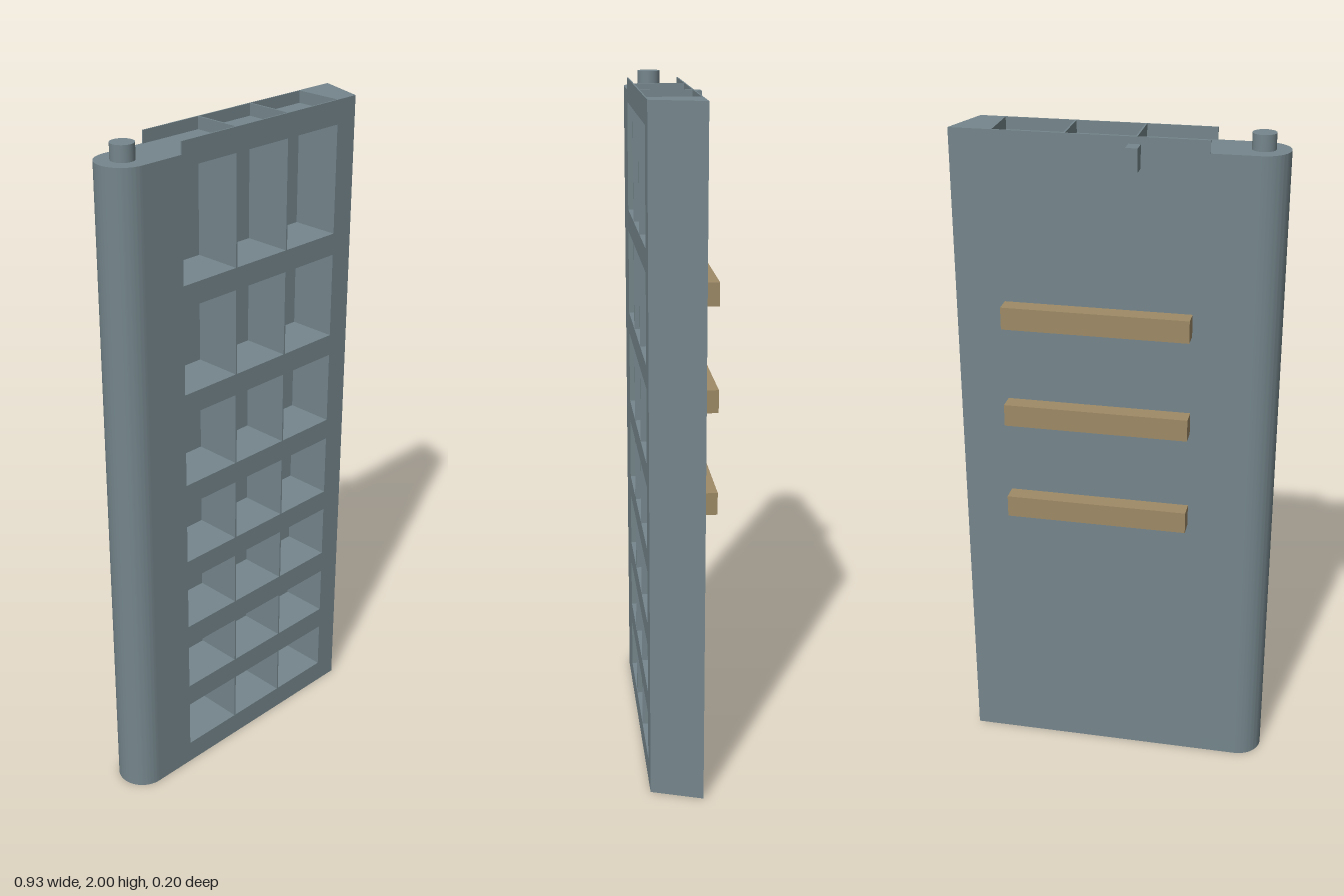
import * as THREE from 'three';
import { toCreasedNormals } from 'three/addons/utils/BufferGeometryUtils.js';

export function createModel() {
  const gate = new THREE.Group();
  gate.name = 'lockGate';
  const steel = new THREE.MeshStandardMaterial({ color: 0x75868c });
  steel.name = 'grey steel';
  const wood = new THREE.MeshStandardMaterial({ color: 0x9e8a66 });
  wood.name = 'fender wood';

  const add = (name, geometry, material = steel) => {
    const mesh = new THREE.Mesh(geometry, material);
    mesh.name = name;
    gate.add(mesh);
    return mesh;
  };
  // box given by its limits on each axis
  const box = (name, [x0, x1], [y0, y1], [z0, z1], material) => {
    const mesh = add(name, new THREE.BoxGeometry(x1 - x0, y1 - y0, z1 - z0), material);
    mesh.position.set((x0 + x1) / 2, (y0 + y1) / 2, (z0 + z1) / 2);
  };
  // plan outline (x, -z) raised from y0 to y1
  const raise = (name, shape, y0, y1) => {
    const g = new THREE.ExtrudeGeometry(shape, { depth: y1 - y0, bevelEnabled: false, curveSegments: 32 });
    g.rotateX(-Math.PI / 2);
    g.translate(0, y0, 0);
    add(name, toCreasedNormals(g, 0.5));
  };

  const back = -0.05, front = 0.1, skin = 0.004;
  const left = -0.257, right = 0.34;   // sides of the cell grid
  const top = 1.99, deck = 1.955;
  const hingeX = -0.39, hingeZ = 0.025, radius = 0.075;

  // rounded hinge post with a socket underneath and a pin on top
  const hingePlan = () => {
    const s = new THREE.Shape();
    s.moveTo(left, -back);
    s.lineTo(hingeX, -back);
    s.absarc(hingeX, -hingeZ, radius, Math.PI / 2, Math.PI * 1.5, false);
    s.lineTo(left, -front);
    s.closePath();
    return s;
  };
  const socketPlan = hingePlan();
  socketPlan.holes.push(new THREE.Path().absarc(hingeX, -hingeZ, 0.033, 0, Math.PI * 2, true));
  raise('hingeSocket', socketPlan, 0, 0.045);
  raise('hingePost', hingePlan(), 0.045, deck);
  add('hingePin', new THREE.CylinderGeometry(0.033, 0.033, 0.045, 32))
    .position.set(hingeX, 2 - 0.0225, hingeZ);

  // mitred meeting post
  const mitre = new THREE.Shape([
    new THREE.Vector2(right, -front), new THREE.Vector2(0.413, -front),
    new THREE.Vector2(0.463, -back), new THREE.Vector2(right, -back),
  ]);
  raise('mitrePost', mitre, 0, top);

  // closed back skin
  box('backSkin', [left, right], [0, top], [back, back + skin]);

  // horizontal beams between the rows of cells, closer together near the bottom
  const rows = [[0.07, 0.22], [0.29, 0.44], [0.51, 0.675], [0.74, 0.93],
    [0.995, 1.215], [1.28, 1.535], [1.6, 1.92]];
  for (let i = 0; i <= rows.length; i++) {
    const y0 = i === 0 ? 0.035 : rows[i - 1][1];
    const y1 = i === rows.length ? deck : rows[i][0];
    box('crossBeam', [left, right], [y0, y1], [back + skin, front]);
  }

  // front lips of the open trays at the bottom and top
  box('bottomLip', [left, right], [0, 0.035], [front - skin, front]);
  box('topLip', [left, right], [deck, top], [front - skin, front]);

  // thin upright dividers through every row and both trays
  for (const x of [-0.058, 0.14]) {
    box('divider', [x - 0.0025, x + 0.0025], [0, top], [back + skin, front]);
  }

  // wooden fenders and a small stop block on the back
  for (const y of [0.83, 1.132, 1.434]) {
    box('fender', [-0.22, 0.32], [y, y + 0.066], [-0.102, back], wood);
  }
  box('stopBlock', [-0.07, -0.036], [1.905, 1.97], [-0.094, back]);

  return gate;
}
